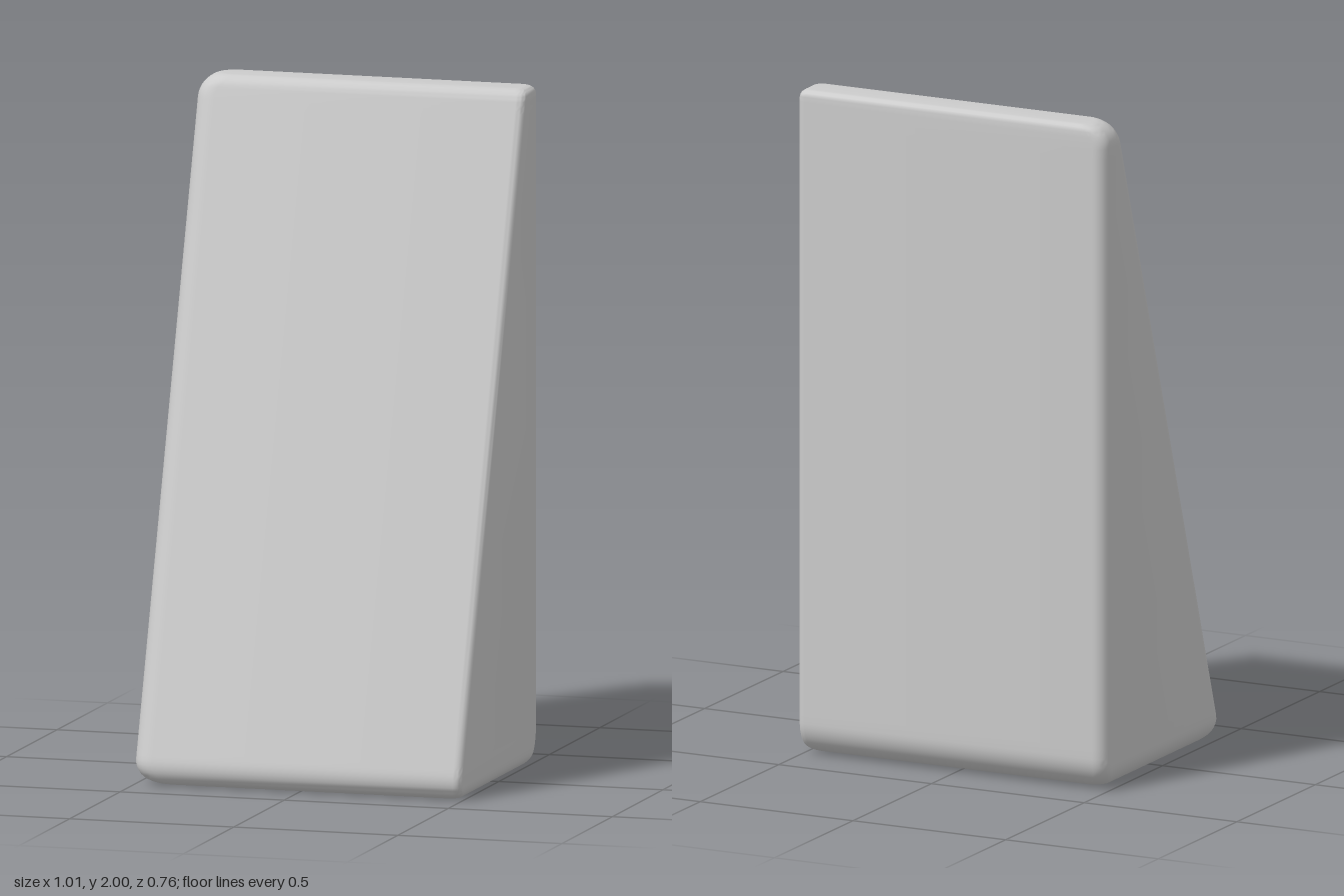
import * as THREE from 'three';
import { toCreasedNormals } from 'three/addons/utils/BufferGeometryUtils.js';

const HEIGHT = 2;
const CORNER_STEPS = 6;

// Distance a rounded edge of radius r pulls in at distance d from the end face
const pull = (d, r) => (d >= r ? 0 : r - Math.sqrt(r * r - (r - d) * (r - d)));

// Horizontal rounded rectangle; corner radii run [+x+z, -x+z, -x-z, +x-z]
function ring(y, x0, x1, z0, z1, radii) {
  const points = [];
  const limit = Math.min(x1 - x0, z1 - z0) / 2;
  radii.forEach((radius, k) => {
    const r = Math.min(radius, limit);
    const cx = k === 0 || k === 3 ? x1 - r : x0 + r;
    const cz = k < 2 ? z1 - r : z0 + r;
    for (let i = 0; i <= CORNER_STEPS; i++) {
      const a = (k + i / CORNER_STEPS) * Math.PI / 2;
      points.push([cx + r * Math.cos(a), y, cz + r * Math.sin(a)]);
    }
  });
  return points;
}

// Outer section of the wedge: upright back, sloping front, softer -x side
function bodyRing(y) {
  const top = HEIGHT - y;
  return ring(
    y,
    -0.505 + pull(y, 0.07) + pull(top, 0.07),
    0.502 - pull(y, 0.035) - pull(top, 0.025),
    -0.382 + pull(y, 0.1) + pull(top, 0.02),
    0.405 - 0.3295 * y - pull(y, 0.08) - pull(top, 0.03),
    [0.025, 0.065, 0.04, 0.025]
  );
}

// Section of the underside recess, shrunk from its opening
function recessRing(y, dx, dz, r) {
  return ring(y, -0.35 + dx, 0.38 - dx, -0.23 + dz, 0.3 - dz, [r, r, r, r]);
}

function loft(rings) {
  const positions = [];
  const index = [];
  const n = rings[0].length;
  rings.forEach((points) => points.forEach((p) => positions.push(...p)));
  for (let j = 0; j < rings.length - 1; j++) {
    for (let i = 0; i < n; i++) {
      const a = j * n + i;
      const b = j * n + (i + 1) % n;
      index.push(a, a + n, b, b, a + n, b + n);
    }
  }
  const geometry = new THREE.BufferGeometry();
  geometry.setAttribute('position', new THREE.Float32BufferAttribute(positions, 3));
  geometry.setIndex(index);
  return toCreasedNormals(geometry, 0.6);
}

export function createModel() {
  const rings = [];

  // Recess: ceiling centre, ceiling, soft inner edge, sloped wall, opening
  rings.push(ring(0.13, 0.015, 0.015, 0.035, 0.035, [0, 0, 0, 0]));
  rings.push(recessRing(0.13, 0.07, 0.05, 0.02));
  rings.push(recessRing(0.127, 0.058, 0.039, 0.02));
  rings.push(recessRing(0.117, 0.05, 0.032, 0.02));
  rings.push(recessRing(0.01, 0.008, 0.006, 0.02));
  rings.push(recessRing(0.003, 0.003, 0.002, 0.02));
  rings.push(recessRing(0, -0.005, -0.005, 0.02));

  // Rounded lower edge
  const steps = 12;
  for (let i = 0; i <= steps; i++) {
    rings.push(bodyRing(0.1 * (1 - Math.cos((i / steps) * Math.PI / 2))));
  }
  // Straight middle
  for (const y of [0.13, 0.5, 1, 1.5, 1.9]) rings.push(bodyRing(y));
  // Rounded upper edge
  for (let i = steps; i >= 0; i--) {
    rings.push(bodyRing(HEIGHT - 0.07 * (1 - Math.cos((i / steps) * Math.PI / 2))));
  }
  // Top face closes to its centre
  rings.push(ring(HEIGHT, 0, 0, -0.32, -0.32, [0, 0, 0, 0]));

  const body = new THREE.Mesh(loft(rings), new THREE.MeshStandardMaterial({ color: 0xcccccc }));
  body.name = 'wedgeBody';

  const model = new THREE.Group();
  model.name = 'hollowBasedWedge';
  model.add(body);
  return model;
}
